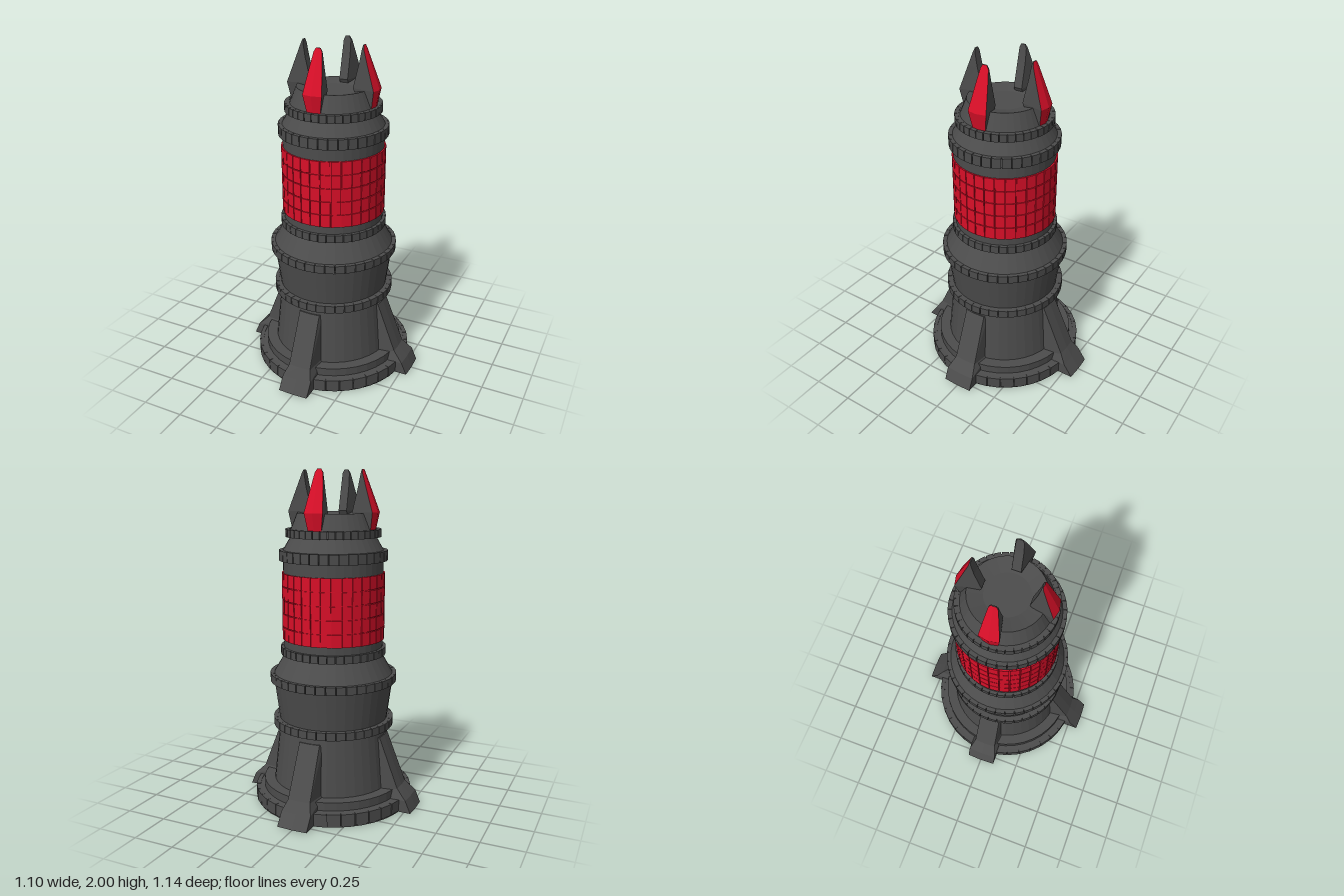
import * as THREE from 'three';
import { mergeGeometries } from 'three/addons/utils/BufferGeometryUtils.js';

const gunmetal = new THREE.MeshStandardMaterial({ color: 0x4c4c4c });
gunmetal.name = 'gunmetal';
const red = new THREE.MeshStandardMaterial({ color: 0xd90f28 });
red.name = 'red';

// Split every face so it shades flat
function faceted(geometry) {
  const g = geometry.toNonIndexed();
  g.computeVertexNormals();
  return g;
}

function turned(name, profile, material) {
  const points = profile.map(([r, y]) => new THREE.Vector2(r, y));
  const mesh = new THREE.Mesh(faceted(new THREE.LatheGeometry(points, 40)), material);
  mesh.name = name;
  return mesh;
}

// Rows of separate plates standing around the tower axis
function plates(name, radius, y0, y1, count, material, rows = 1, gap = 0.005) {
  const depth = 0.025, step = (y1 - y0) / rows;
  const width = 2 * radius * Math.tan(Math.PI / count) - gap;
  const parts = [];
  for (let row = 0; row < rows; row++) {
    for (let i = 0; i < count; i++) {
      const g = new THREE.BoxGeometry(width, step - (rows > 1 ? gap : 0), depth);
      g.translate(0, y0 + step * (row + 0.5), radius - depth / 2);
      g.rotateY(((i + 0.5) / count) * Math.PI * 2);
      parts.push(g);
    }
  }
  const mesh = new THREE.Mesh(mergeGeometries(parts), material);
  mesh.name = name;
  return mesh;
}

// Skin stacked cross-sections (counter-clockwise from above); chosen sides are painted
function loft(sections, paintedSides = []) {
  const plain = [], painted = [];
  const n = sections[0].length;
  const tri = (list, a, b, c) => list.push(...a, ...b, ...c);
  for (let s = 0; s < sections.length - 1; s++) {
    for (let j = 0; j < n; j++) {
      const k = (j + 1) % n, low = sections[s], high = sections[s + 1];
      const list = paintedSides.includes(j) ? painted : plain;
      tri(list, low[j], low[k], high[k]);
      tri(list, low[j], high[k], high[j]);
    }
  }
  const bottom = sections[0], top = sections[sections.length - 1];
  for (let j = 1; j < n - 1; j++) {
    tri(plain, bottom[0], bottom[j + 1], bottom[j]);
    tri(plain, top[0], top[j], top[j + 1]);
  }
  const g = new THREE.BufferGeometry();
  g.setAttribute('position', new THREE.Float32BufferAttribute([...plain, ...painted], 3));
  g.addGroup(0, plain.length / 3, 0);
  g.addGroup(plain.length / 3, painted.length / 3, 1);
  g.computeVertexNormals();
  return g;
}

// Claw: ridged red outer face, narrow inner edge
function clawGeometry() {
  // y, outer radius, outer half width, inner radius, inner half width
  const rows = [
    [1.66, 0.26, 0.042, 0.18, 0.025],
    [1.76, 0.28, 0.058, 0.13, 0.026],
    [1.90, 0.227, 0.038, 0.165, 0.025],
    [1.98, 0.197, 0.025, 0.18, 0.022],
    [2.0, 0.19, 0.013, 0.183, 0.012],
  ];
  return loft(rows.map(([y, ro, wo, ri, wi]) => {
    const bevel = wo * 0.22;
    return [[-wo, y, ro - bevel], [0, y, ro], [wo, y, ro - bevel], [wi, y, ri], [-wi, y, ri]];
  }), [0, 1]);
}

// Buttress: splayed foot rising to a narrow top against the wall
function buttressGeometry(foot, knee) {
  // y, outer radius, outer half width, root half width
  const rows = [
    [0.005, foot, 0.093, 0.093],
    [0.08, 0.515, 0.093, 0.093],
    [0.14, knee, 0.07, 0.09],
    [0.44, 0.337, 0.065, 0.075],
  ];
  return loft(rows.map(([y, r, w, root]) =>
    [[-w, y, r - 0.004], [0, y, r], [w, y, r - 0.004], [root, y, 0.3], [-root, y, 0.3]]));
}

export function createModel() {
  const tower = new THREE.Group();
  tower.name = 'tower';

  // Main body, with a shallow dish in the top
  tower.add(turned('body', [
    [0, 0], [0.475, 0], [0.475, 0.075], [0.43, 0.08], [0.43, 0.13], [0.365, 0.13],
    [0.327, 0.48], [0.355, 0.48], [0.355, 0.525], [0.33, 0.525],
    [0.36, 0.755], [0.37, 0.755], [0.37, 0.8], [0.36, 0.8],
    [0.29, 0.92], [0.305, 0.92], [0.305, 0.965], [0.297, 0.965],
    [0.297, 1.48], [0.31, 1.48], [0.31, 1.535], [0.3, 1.535],
    [0.25, 1.62], [0.272, 1.62], [0.272, 1.66], [0.25, 1.66],
    [0.212, 1.755], [0.125, 1.735], [0, 1.735],
  ], gunmetal));

  // Plated collars: radius, bottom, top, plate count
  const collars = [
    [0.48, 0.01, 0.08, 36], [0.365, 0.48, 0.527, 40], [0.382, 0.755, 0.803, 40],
    [0.316, 0.92, 0.966, 40], [0.32, 1.48, 1.54, 36], [0.281, 1.617, 1.662, 40],
  ];
  collars.forEach(([r, y0, y1, n], i) =>
    tower.add(plates(`collar${i + 1}`, r, y0, y1, n, gunmetal)));

  // Red tiled band over a red core
  tower.add(turned('bandCore', [[0.29, 1.012], [0.3, 1.012], [0.3, 1.408], [0.29, 1.408]], red));
  tower.add(plates('bandTiles', 0.305, 1.01, 1.41, 32, red, 5));

  // Four claws and four buttresses
  const claw = clawGeometry();
  const buttresses = [buttressGeometry(0.568, 0.475), buttressGeometry(0.548, 0.455)];
  ['front', 'left', 'back', 'right'].forEach((side, i) => {
    const clawMesh = new THREE.Mesh(claw, [gunmetal, red]);
    clawMesh.name = `${side}Claw`;
    const buttress = new THREE.Mesh(buttresses[i % 2], [gunmetal, red]);
    buttress.name = `${side}Buttress`;
    for (const mesh of [clawMesh, buttress]) {
      mesh.rotation.y = (i * Math.PI) / 2;
      tower.add(mesh);
    }
  });
  return tower;
}
